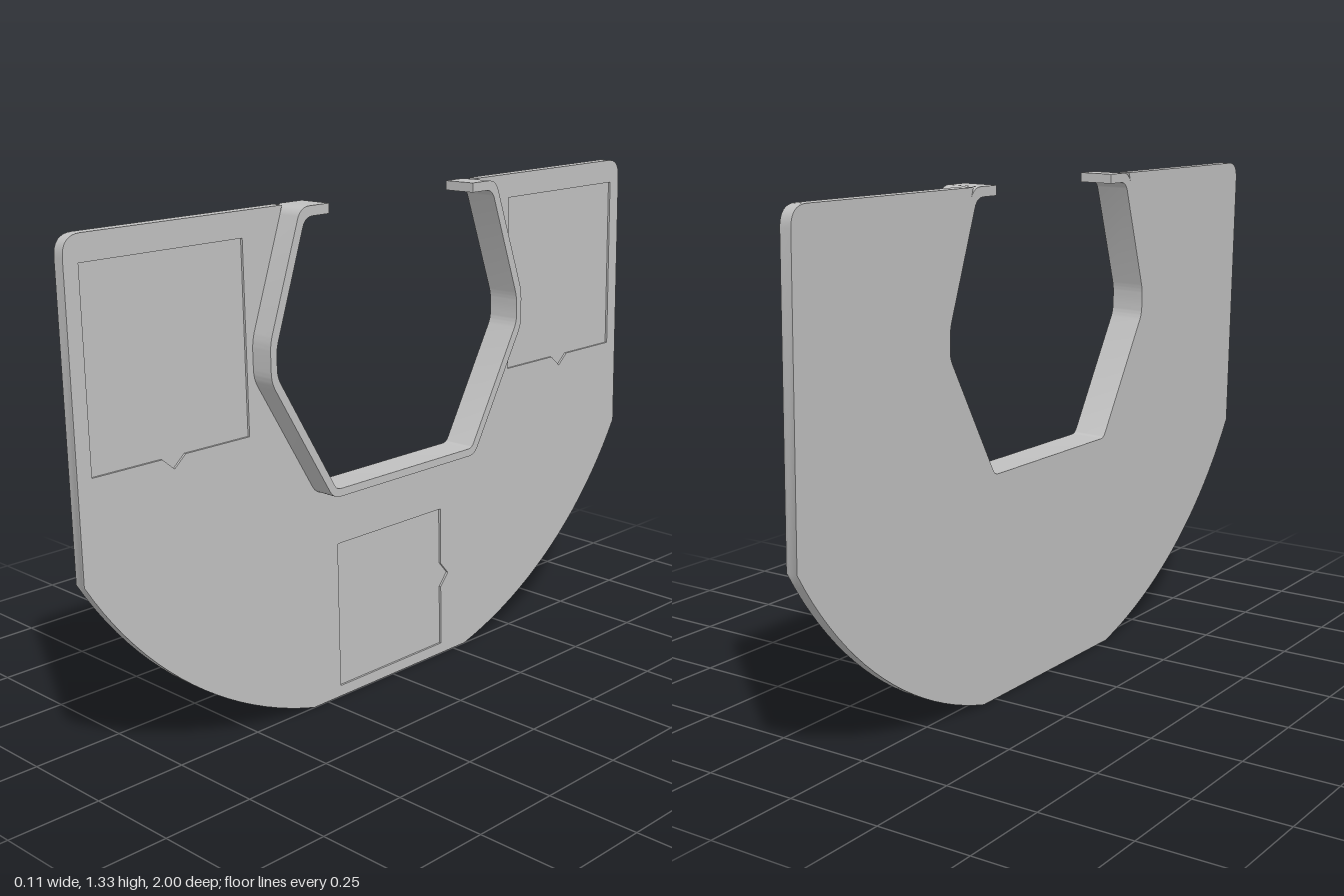
import * as THREE from 'three';
import { toCreasedNormals } from 'three/addons/utils/BufferGeometryUtils.js';

// Closed outline from [u, v, cornerRadius] points
function outline(points, Type = THREE.Shape) {
  const path = new Type();
  const n = points.length;
  points.forEach(([u, v, r = 0], i) => {
    const p = new THREE.Vector2(u, v);
    const toward = (q) => new THREE.Vector2(q[0], q[1]).sub(p).setLength(r).add(p);
    const a = r ? toward(points[(i + n - 1) % n]) : p;
    if (i === 0) path.moveTo(a.x, a.y);
    else path.lineTo(a.x, a.y);
    if (r) {
      const b = toward(points[(i + 1) % n]);
      path.quadraticCurveTo(p.x, p.y, b.x, b.y);
    }
  });
  path.closePath();
  return path;
}

const mirror = (points) => points.map(([u, v, r]) => [-u, v, r]).reverse();

// Extrude a side profile (u = -z, v = y) along x, from x0 to x1
function slab(name, shape, x0, x1, material) {
  let geometry = new THREE.ExtrudeGeometry(shape, { depth: x1 - x0, bevelEnabled: false, curveSegments: 8 });
  geometry.translate(0, 0, x0).rotateY(Math.PI / 2);
  geometry = toCreasedNormals(geometry, 0.6);
  const mesh = new THREE.Mesh(geometry, material);
  mesh.name = name;
  return mesh;
}

export function createModel() {
  const grey = new THREE.MeshStandardMaterial({ color: 0xc0c0c0 });
  grey.name = 'grey';

  const TOP = 1.33, BACK = -0.031, FRONT = 0, POCKET = 0.006, RIM = 0.064;

  // Collar half profiles, from the bottom up
  const outer = [[0.272, 0.584, 0.025], [0.47, 0.92, 0.025], [0.47, 1.015, 0.025]];
  const inner = [[0.26, 0.605, 0.015], [0.45, 0.93, 0.02], [0.45, 1.0, 0.02], [0.345, 1.305, 0.025], [0.265, 1.305]];
  const collarOuter = [...outer, [0.36, TOP, 0.03], [0.265, TOP]];

  // Plate half outline: notch edge, rounded top corner, then the arc to the flat foot
  const half = [...outer, [0.36, TOP], [1, TOP, 0.05]];
  const cy = 1.124, radius = Math.hypot(1, cy - 0.53);
  const start = Math.atan2(0.53 - cy, 1), end = Math.atan2(-cy, 0.3);
  for (let i = 0; i <= 20; i++) {
    const a = start + (end - start) * i / 20;
    half.push([radius * Math.cos(a), cy + radius * Math.sin(a)]);
  }
  const plate = () => outline([...half, ...mirror(half)]);

  // Shallow pockets, each with a small V-shaped notch
  const sidePocket = (c) => [
    [c - 0.235, 0.78], [c - 0.035, 0.78], [c, 0.75], [c + 0.035, 0.78],
    [c + 0.235, 0.78], [c + 0.235, 1.265], [c - 0.235, 1.265],
  ];
  const lowerPocket = [
    [-0.2, 0.03], [0.2, 0.03], [0.2, 0.2], [0.23, 0.235], [0.2, 0.27], [0.2, 0.43], [-0.2, 0.43],
  ];
  const face = plate();
  for (const pocket of [sidePocket(-0.725), sidePocket(0.725), lowerPocket]) {
    face.holes.push(outline(pocket, THREE.Path));
  }

  // Collar band with hooked ends, running through the full depth
  const band = outline([...mirror(collarOuter), ...collarOuter, ...[...inner].reverse(), ...mirror(inner).reverse()]);

  const leaning = new THREE.Group();
  leaning.name = 'leaningPanel';
  leaning.add(
    slab('backPlate', plate(), BACK, FRONT - POCKET, grey),
    slab('pocketedFace', face, FRONT - POCKET, FRONT, grey),
    slab('hookedCollar', band, BACK, RIM, grey),
  );
  leaning.rotation.z = 0.0185;

  const model = new THREE.Group();
  model.name = 'notchedPanel';
  model.add(leaning);
  return model;
}
